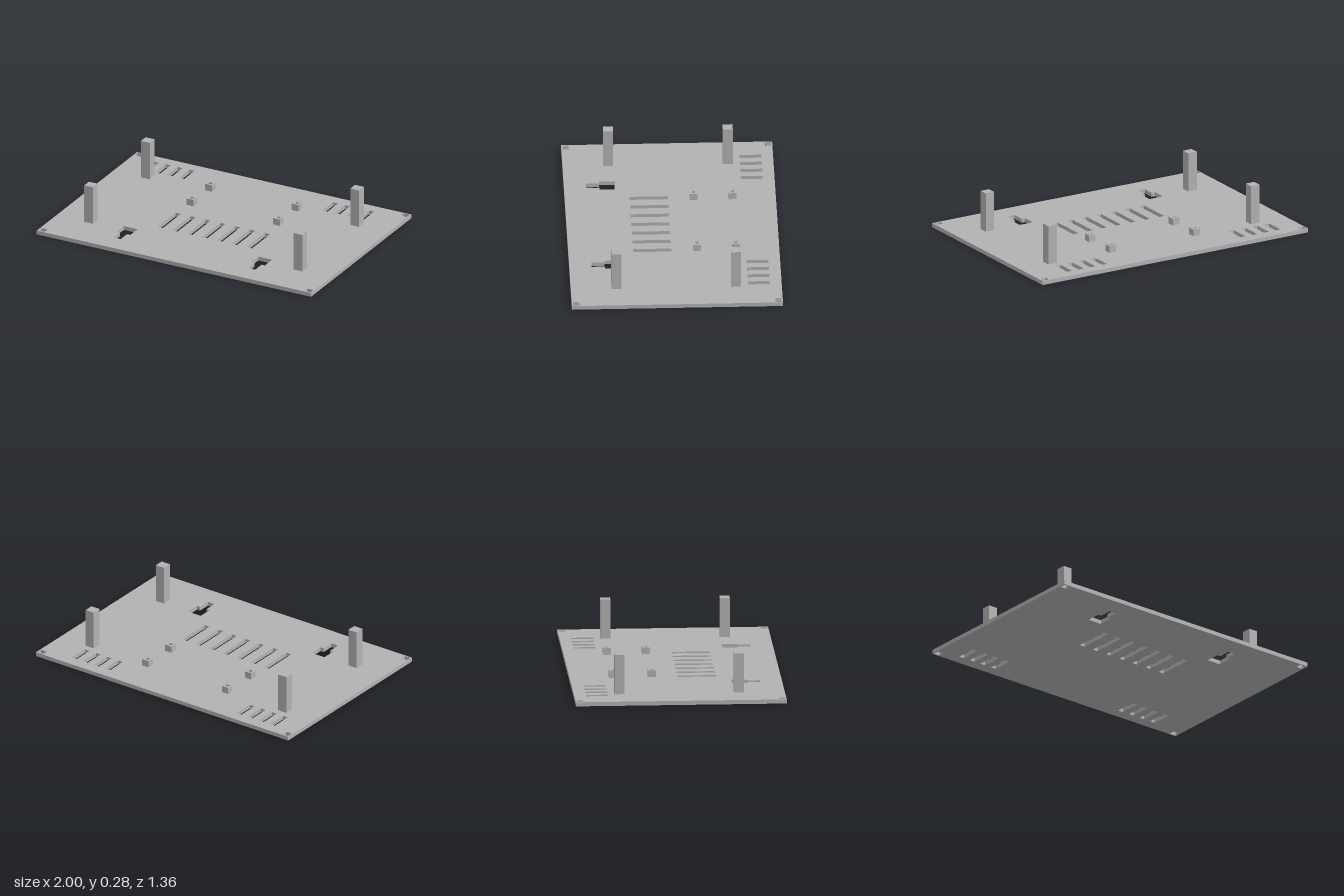
import * as THREE from 'three';

const THICK = 0.027;

// Closed rectangle in plan (x, z), given by centre and size
function rect(cx, cz, w, d, Type = THREE.Path) {
  const p = new Type();
  p.moveTo(cx - w / 2, cz - d / 2);
  p.lineTo(cx + w / 2, cz - d / 2);
  p.lineTo(cx + w / 2, cz + d / 2);
  p.lineTo(cx - w / 2, cz + d / 2);
  p.closePath();
  return p;
}

// T-shaped wall-hanging slot: wide at the back, narrow towards the front
function keyhole(cx) {
  const pts = [[-0.05, 0.352], [0.05, 0.352], [0.05, 0.45], [0.026, 0.45],
    [0.026, 0.535], [-0.026, 0.535], [-0.026, 0.45], [-0.05, 0.45]];
  return new THREE.Path(pts.map(([x, z]) => new THREE.Vector2(cx + x, z)));
}

// Extrude a plan shape upwards from y = base
function slab(shape, base, height) {
  const g = new THREE.ExtrudeGeometry(shape, { depth: height, bevelEnabled: false });
  g.rotateX(Math.PI / 2);
  g.translate(0, base + height, 0);
  return g;
}

export function createModel() {
  const model = new THREE.Group();
  model.name = 'mountingPlate';
  const grey = new THREE.MeshStandardMaterial({ color: 0xb2b2b2 });
  grey.name = 'grey';

  const add = (name, geometry) => {
    const mesh = new THREE.Mesh(geometry, grey);
    mesh.name = name;
    model.add(mesh);
    return mesh;
  };

  // Base plate with all its openings
  const plate = rect(0, 0, 2, 1.356, THREE.Shape);
  for (const sx of [-1, 1]) {
    for (const sz of [-1, 1]) plate.holes.push(rect(sx * 0.97, sz * 0.65, 0.045, 0.041));
    plate.holes.push(keyhole(sx * 0.49));
  }
  for (let i = 0; i < 7; i++) plate.holes.push(rect((i - 3) * 0.1083, 0.139, 0.037, 0.246));
  for (const start of [-0.82, 0.488]) {
    for (let i = 0; i < 4; i++) plate.holes.push(rect(start + i * 0.0875, -0.532, 0.037, 0.142));
  }
  add('basePlate', slab(plate, 0, THICK));

  for (const sx of [-1, 1]) {
    // Tall corner posts
    for (const sz of [-1, 1]) {
      const post = add('post', new THREE.BoxGeometry(0.064, 0.285 - THICK, 0.064));
      post.position.set(sx * 0.763, (0.285 + THICK) / 2, sz * 0.384);
    }
    // Short standoffs with a screw hole
    for (const z of [-0.4, -0.149]) {
      const standoff = rect(sx * 0.316, z, 0.05, 0.05, THREE.Shape);
      standoff.holes.push(rect(sx * 0.316, z, 0.026, 0.021));
      add('standoff', slab(standoff, THICK, 0.072 - THICK));
    }
  }
  return model;
}
